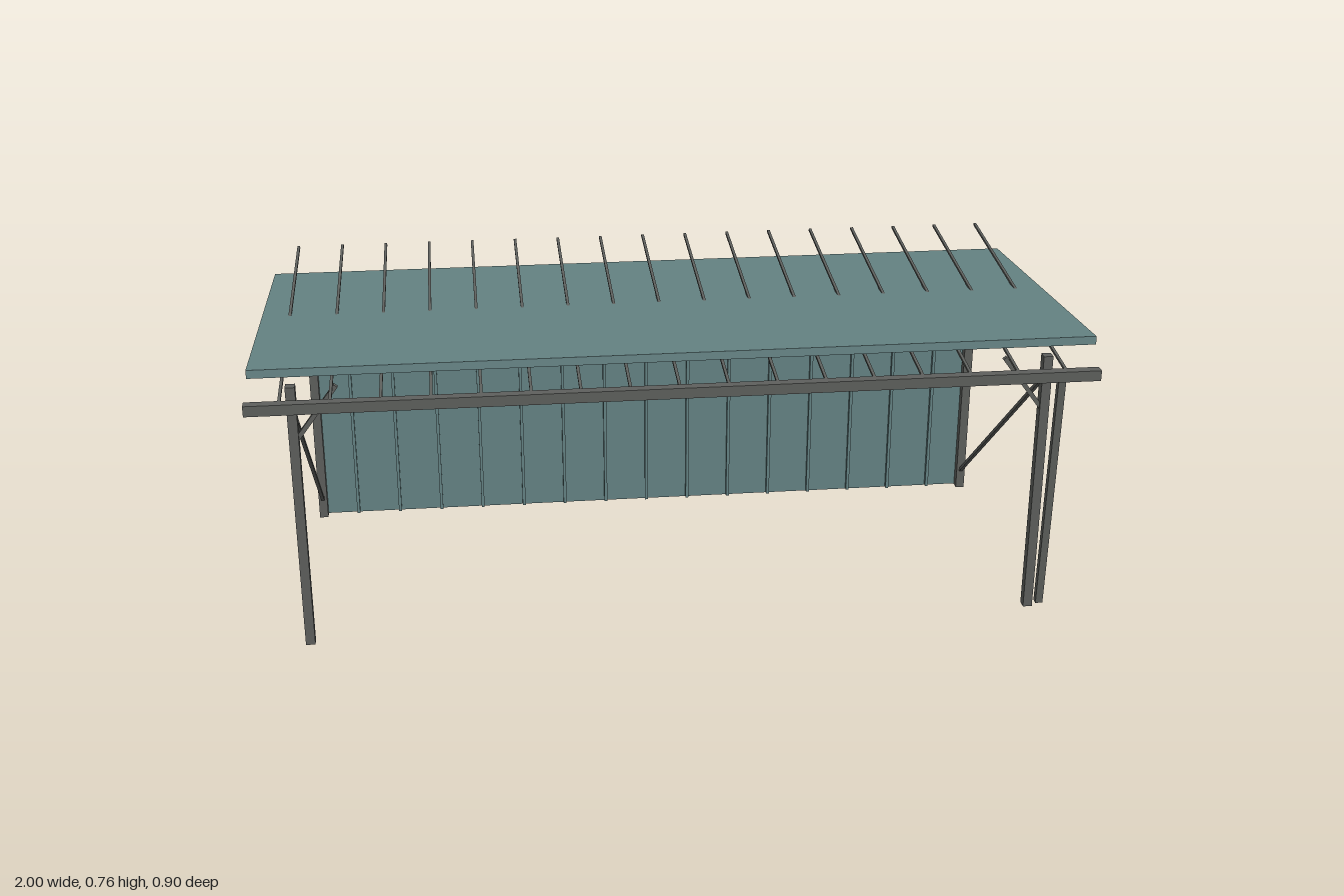
import * as THREE from 'three';

export function createModel() {
  const model = new THREE.Group();
  model.name = 'shelter';
  const sheet = new THREE.MeshStandardMaterial({ color: 0x668485 });
  sheet.name = 'blue grey sheeting';
  const frame = new THREE.MeshStandardMaterial({ color: 0x5e605d });
  frame.name = 'dark grey frame';

  // Axis-aligned box given by its size and centre
  function block(name, material, size, centre) {
    const mesh = new THREE.Mesh(new THREE.BoxGeometry(...size), material);
    mesh.name = name;
    mesh.position.set(...centre);
    model.add(mesh);
    return mesh;
  }

  // Straight bar between two points: w across, d in the other direction
  function bar(name, from, to, w, d) {
    const a = new THREE.Vector3(...from);
    const b = new THREE.Vector3(...to);
    const mid = a.clone().add(b).multiplyScalar(0.5);
    const mesh = block(name, frame, [w, a.distanceTo(b), d], mid.toArray());
    mesh.quaternion.setFromUnitVectors(new THREE.Vector3(0, 1, 0), b.sub(a).normalize());
    return mesh;
  }

  // Sloping roof panel, higher at the front
  const roof = block('roof', sheet, [1.976, 0.02, 0.876], [0, 0.711, -0.012]);
  roof.rotation.x = -0.088;

  // Back wall with upright battens on the inside
  block('backWall', sheet, [1.81, 0.66, 0.009], [0, 0.332, -0.3765]);
  const spacing = 0.115;
  for (let i = -7; i <= 7; i++) {
    block('wallBatten', sheet, [0.008, 0.655, 0.012], [i * spacing, 0.331, -0.366]);
  }

  // Thin rafters crossing through the roof panel
  for (let i = -8; i <= 8; i++) {
    const x = i * spacing;
    bar('rafter', [x, 0.677, 0.43], [x, 0.755, -0.45], 0.007, 0.006);
  }

  // Long beam along the front
  block('frontBeam', frame, [2, 0.026, 0.025], [0, 0.669, 0.4375]);

  // Posts, knee braces and side diagonals on both ends
  for (const s of [-1, 1]) {
    block('frontPost', frame, [0.023, 0.683, 0.024], [s * 0.9, 0.3415, 0.34]);
    block('backPost', frame, [0.023, 0.668, 0.025], [s * 0.9, 0.334, -0.3625]);
    bar('sideDiagonal', [s * 0.9, 0.595, 0.295], [s * 0.9, 0.055, -0.352], 0.009, 0.009);
    for (const [z, top] of [[0.34, 0.68], [-0.358, 0.665]]) {
      bar('kneeBrace', [s * 0.895, 0.545, z], [s * (0.895 - (top - 0.545) * 0.74), top, z], 0.011, 0.011);
    }
  }

  // Single leaning prop under the beam
  bar('leaningProp', [0.908, 0.66, 0.437], [0.908, 0.045, 0.407], 0.018, 0.017);

  return model;
}
